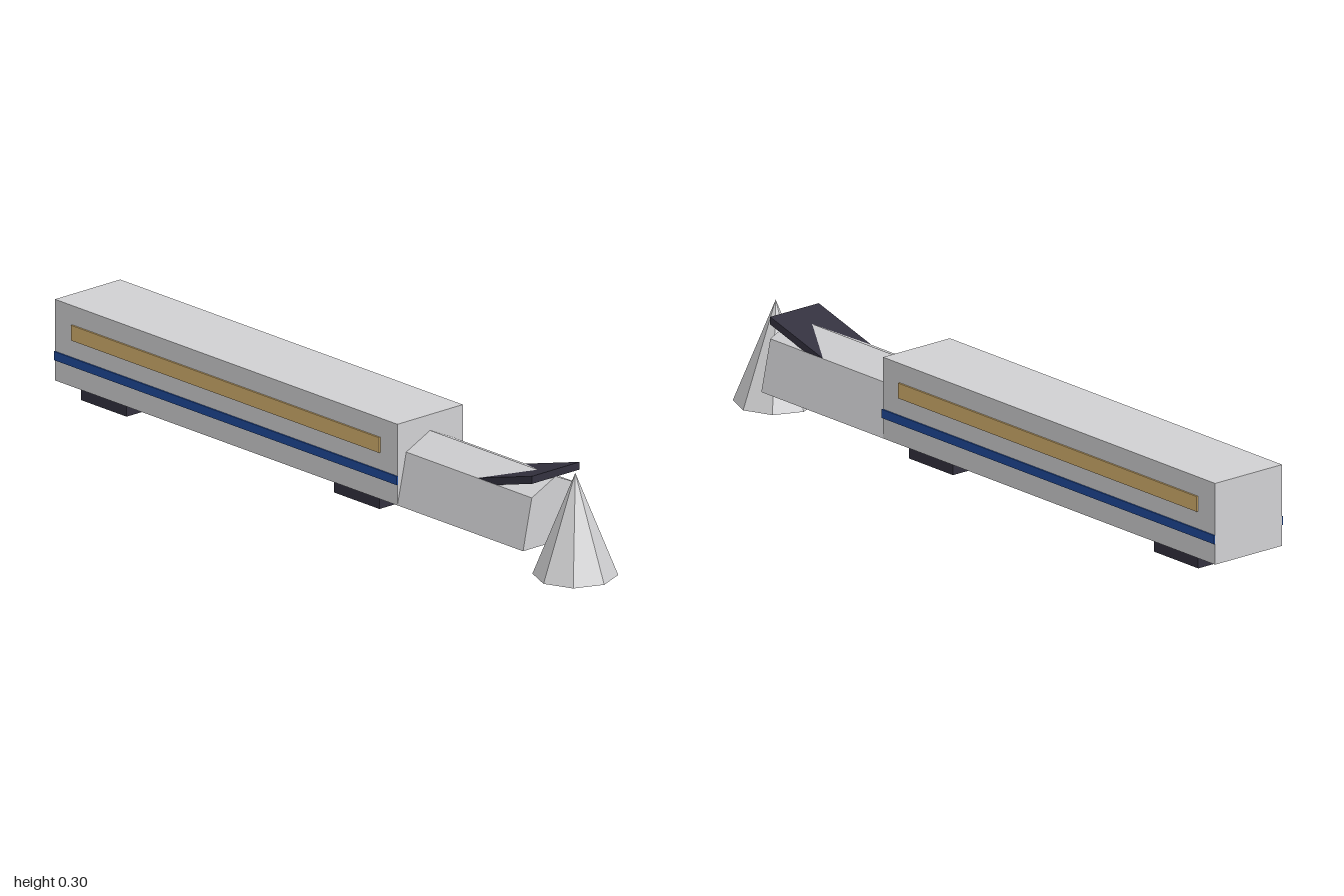
import * as THREE from 'three';

export function createModel() {
  const model = new THREE.Group();
  model.name = 'train';

  const material = (name, color) => {
    const m = new THREE.MeshStandardMaterial({ color, flatShading: true });
    m.name = name;
    return m;
  };
  const grey = material('light grey', 0xd0d0d2);
  const gold = material('window gold', 0xd4b06e);
  const blue = material('stripe blue', 0x1f4a9a);
  const dark = material('dark slate', 0x33313f);

  const add = (name, geometry, mat) => {
    const mesh = new THREE.Mesh(geometry, mat);
    mesh.name = name;
    model.add(mesh);
    return mesh;
  };
  // Box given by its minimum and maximum on each axis
  const box = (name, mat, [x0, x1], [y0, y1], [z0, z1]) =>
    add(name, new THREE.BoxGeometry(x1 - x0, y1 - y0, z1 - z0), mat)
      .position.set((x0 + x1) / 2, (y0 + y1) / 2, (z0 + z1) / 2);
  const extrude = (points, depth) => new THREE.ExtrudeGeometry(
    new THREE.Shape(points.map(([x, y]) => new THREE.Vector2(x, y))),
    { depth, bevelEnabled: false });

  // Carriage body
  box('carriageBody', grey, [-1, 0.326], [0.071, 0.295], [-0.115, 0.115]);

  // Window band and stripe on both sides
  for (const [side, s] of [['front', 1], ['back', -1]]) {
    const plate = (out) => [s * 0.114, s * out].sort((a, b) => a - b);
    box(side + 'WindowBand', gold, [-0.932, 0.26], [0.2, 0.242], plate(0.12));
    box(side + 'Stripe', blue, [-1, 0.327], [0.128, 0.152], plate(0.119));
  }

  // Bogies under the floor
  for (const x of [-0.827, 0.152]) {
    box('bogie', dark, [x - 0.088, x + 0.088], [0.035, 0.071], [-0.1, 0.1]);
  }

  // Nose: five-sided section with a ridged roof, extruded along x
  const nose = extrude(
    [[-0.115, 0.071], [0.115, 0.071], [0.084, 0.211], [0, 0.251], [-0.084, 0.211]], 0.487);
  nose.rotateY(Math.PI / 2);
  add('nose', nose, grey).position.x = 0.325;

  // Sloping windscreen slab that the roof ridge pokes through
  const windscreen = extrude(
    [[0.605, 0.191], [0.813, 0.25], [0.813, 0.271], [0.605, 0.212]], 0.167);
  add('windscreen', windscreen, dark).position.z = -0.0835;

  // Eight-sided cone at the tip
  add('noseCone', new THREE.ConeGeometry(0.112, 0.28, 8), grey).position.set(0.888, 0.14, 0);

  return model;
}
